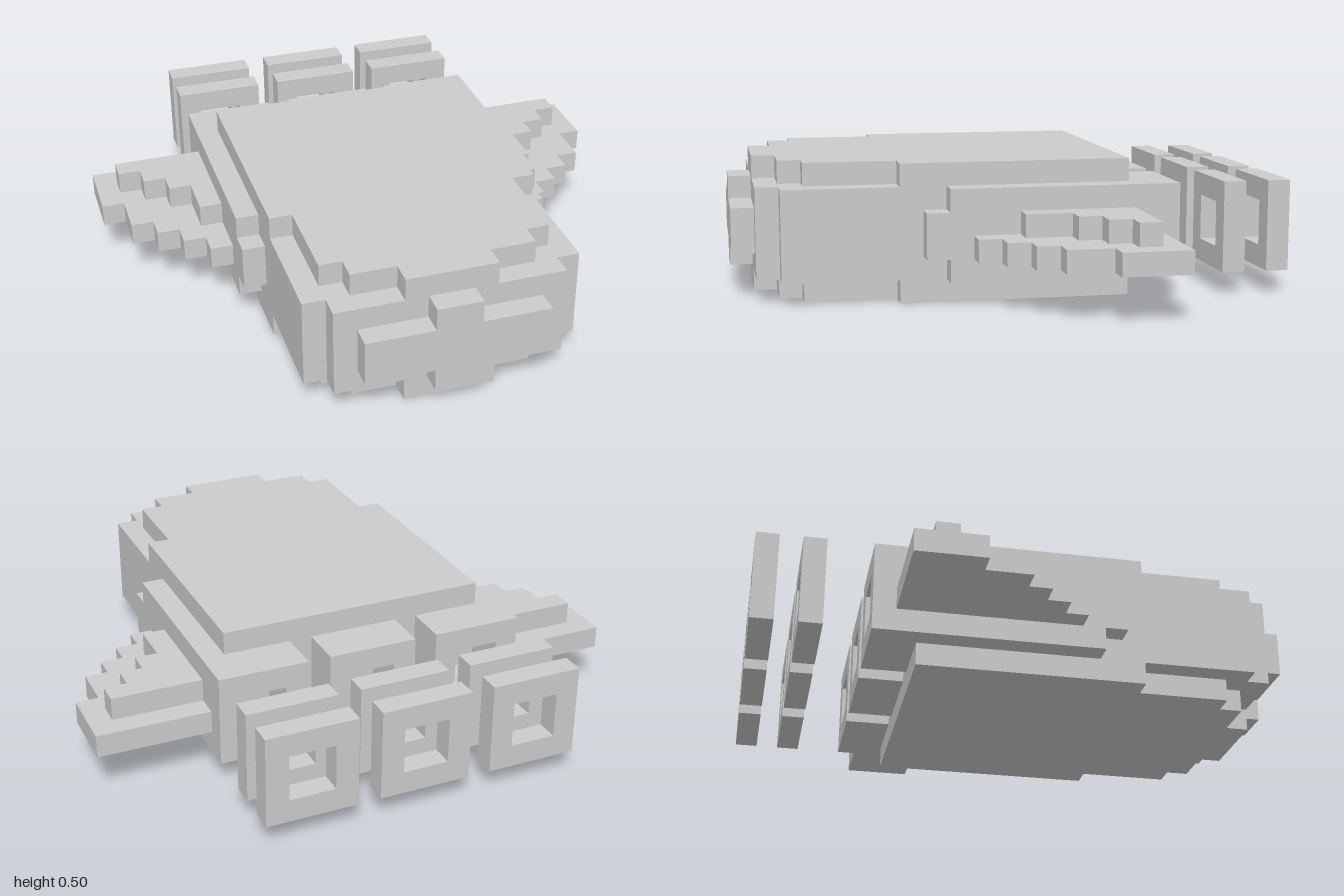
import * as THREE from 'three';

const U = 1 / 12; // one block
const material = new THREE.MeshStandardMaterial({ color: 0xcccccc, flatShading: true });

function add(parent, name, geometry) {
  geometry.scale(U, U, U);
  const mesh = new THREE.Mesh(geometry, material);
  mesh.name = name;
  parent.add(mesh);
  return mesh;
}

function box(parent, name, [x0, x1], [y0, y1], [z0, z1]) {
  const g = new THREE.BoxGeometry(x1 - x0, y1 - y0, z1 - z0);
  g.translate((x0 + x1) / 2, (y0 + y1) / 2, (z0 + z1) / 2);
  return add(parent, name, g);
}

const shapeOf = (points) => new THREE.Shape(points.map(([x, y]) => new THREE.Vector2(x, y)));
const extrude = (shape, depth) => new THREE.ExtrudeGeometry(shape, { depth, bevelEnabled: false });

// Stepped edge running forward from zBack: each step is [x, z where that width ends]
function stairs(zBack, steps) {
  let z = zBack;
  const points = [];
  for (const [x, end] of steps) {
    points.push([x, z], [x, end]);
    z = end;
  }
  return points;
}

// Horizontal slab with an (x, z) outline between two heights
function slab(parent, name, outline, y0, y1) {
  const g = extrude(shapeOf(outline), y1 - y0);
  g.rotateX(Math.PI / 2);
  g.translate(0, y1, 0);
  return add(parent, name, g);
}

const mirrored = (half) => [...half, ...half.map(([x, z]) => [-x, z]).reverse()];

// Upright square frame with a square opening
function frame(parent, name, x, z0, z1) {
  const shape = shapeOf([[x - 2, 1], [x + 2, 1], [x + 2, 5], [x - 2, 5]]);
  shape.holes.push(new THREE.Path([[x - 1, 2], [x - 1, 4], [x + 1, 4], [x + 1, 2]]
    .map(([a, b]) => new THREE.Vector2(a, b))));
  const g = extrude(shape, z1 - z0);
  g.translate(0, 0, z0);
  return add(parent, name, g);
}

export function createModel() {
  const model = new THREE.Group();
  model.name = 'blockySpaceship';

  // Hull with its side pods, and the plates above and below
  const hull = mirrored(stairs(-5, [[7, 3], [6, 10], [5, 11]]));
  const plate = mirrored(stairs(-5, [[6, 5], [5, 9], [4, 10], [2, 11]]));
  slab(model, 'hull', hull, 1, 5);
  slab(model, 'bottomPlate', plate, 0, 1);
  slab(model, 'topPlate', plate, 5, 6);

  // Cross-shaped nose
  const quarter = [[4, 2], [4, 4], [1, 4], [1, 5]];
  const nose = extrude(shapeOf([
    [1, 1], [1, 2], ...quarter,
    ...quarter.map(([x, y]) => [-x, y]).reverse(), [-1, 2], [-1, 1],
  ]), 1);
  nose.translate(0, 0, 11);
  add(model, 'nose', nose);

  // Pod tips and stepped two-layer wings
  for (const [side, s] of [['left', 1], ['right', -1]]) {
    const span = (a, b) => (s > 0 ? [a, b] : [-b, -a]);
    box(model, side + 'PodTip', span(6, 7), [2, 4], [3, 4]);

    const wing = new THREE.Group();
    wing.name = side + 'Wing';
    model.add(wing);
    const outline = (zBack, steps) =>
      [[7, zBack], ...stairs(zBack, steps), [7, steps.at(-1)[1]]].map(([x, z]) => [s * x, z]);
    slab(wing, 'wingLower', outline(-6, [[12, -3], [11, -1], [10, 0], [9, 1], [8, 2]]), 2, 3);
    slab(wing, 'wingUpper', outline(-5, [[11, -4], [10, -3], [9, -2], [8, 0]]), 3, 4);
  }

  // Three engines, each followed by two floating exhaust rings
  for (const x of [-5, 0, 5]) {
    const engine = new THREE.Group();
    engine.name = 'engine';
    model.add(engine);
    frame(engine, 'nozzle', x, -7, -5);
    frame(engine, 'innerExhaustRing', x, -10, -9);
    frame(engine, 'outerExhaustRing', x, -12, -11);
  }
  return model;
}
